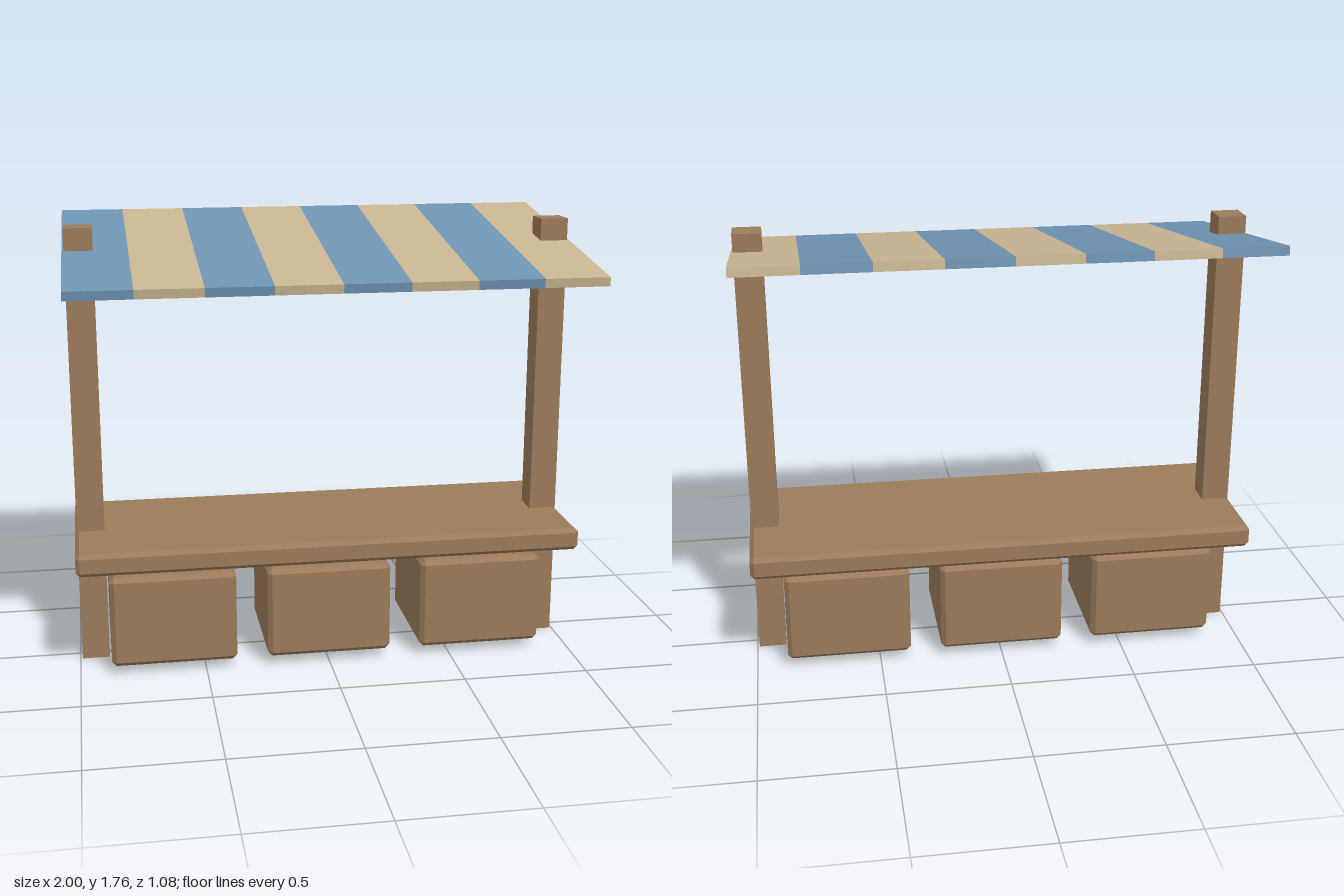
import * as THREE from 'three';
import { ConvexGeometry } from 'three/addons/geometries/ConvexGeometry.js';

// Box with every edge and corner cut flat
function chamferedBox(w, h, d, c) {
  const points = [];
  for (const sx of [-1, 1]) for (const sy of [-1, 1]) for (const sz of [-1, 1]) {
    const [x, y, z] = [w / 2, h / 2, d / 2];
    points.push(
      new THREE.Vector3(sx * x, sy * (y - c), sz * (z - c)),
      new THREE.Vector3(sx * (x - c), sy * y, sz * (z - c)),
      new THREE.Vector3(sx * (x - c), sy * (y - c), sz * z)
    );
  }
  return new ConvexGeometry(points);
}

// Slab divided along x, each division taking alternate materials on all its faces
function stripedSlab(w, h, d, count) {
  const geo = new THREE.BoxGeometry(w, h, d, count, 1, 1);
  geo.clearGroups();
  const pos = geo.attributes.position, idx = geo.index;
  for (let i = 0; i < idx.count; i += 6) {
    let x = 0;
    for (let k = 0; k < 6; k++) x += pos.getX(idx.getX(i + k)) / 6;
    const stripe = THREE.MathUtils.clamp(Math.floor((x / w + 0.5) * count), 0, count - 1);
    geo.addGroup(i, 6, stripe % 2);
  }
  return geo;
}

export function createModel() {
  const wood = new THREE.MeshStandardMaterial({ color: 0x9c7b5a });
  const blue = new THREE.MeshStandardMaterial({ color: 0x6f93b2 });
  const sand = new THREE.MeshStandardMaterial({ color: 0xc8b592 });
  wood.name = 'wood';
  blue.name = 'blueCloth';
  sand.name = 'sandCloth';

  const stall = new THREE.Group();
  stall.name = 'marketStall';
  const add = (name, geo, material, x, y, z) => {
    const mesh = new THREE.Mesh(geo, material);
    mesh.name = name;
    mesh.position.set(x, y, z);
    stall.add(mesh);
    return mesh;
  };

  // Posts rising through the counter and the awning
  const postGeo = new THREE.BoxGeometry(0.11, 1.755, 0.11);
  add('rightPost', postGeo, wood, -0.937, 0.8775, 0);
  add('leftPost', postGeo, wood, 0.937, 0.8775, 0);

  // Counter top
  add('counter', chamferedBox(2, 0.09, 0.688, 0.016), wood, 0, 0.502, 0);

  // Crates under the counter
  const crateGeo = chamferedBox(0.5, 0.372, 0.5, 0.018);
  ['rightCrate', 'middleCrate', 'leftCrate'].forEach((name, i) =>
    add(name, crateGeo, wood, (i - 1) * 0.625, 0.222, 0));

  // Striped awning, sloping down to the front
  const awning = add('awning', stripedSlab(2, 0.035, 1.09, 8), [blue, sand], 0, 1.659, 0);
  awning.rotation.x = 0.15;

  return stall;
}
